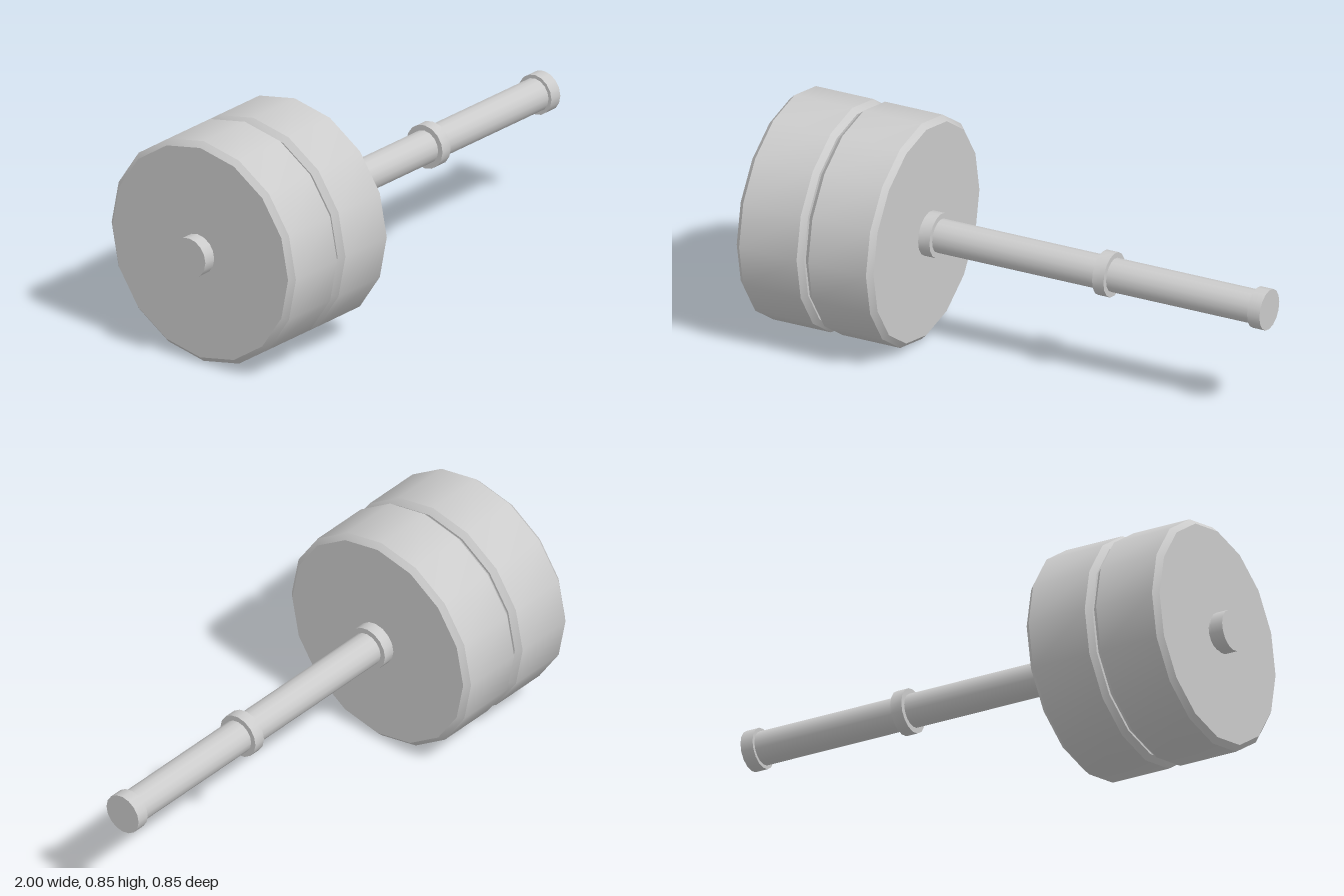
import * as THREE from 'three';
import { toCreasedNormals } from 'three/addons/utils/BufferGeometryUtils.js';

const SIDES = 16;
const AXIS_Y = 0.425;
const ROD_RADIUS = 0.0625;

export function createModel() {
  const model = new THREE.Group();
  model.name = 'dumbbell';
  const material = new THREE.MeshStandardMaterial({ color: 0xcccccc });

  // Places a part, built along y, on the horizontal axis of the bar
  function add(name, geometry, x) {
    geometry.rotateZ(-Math.PI / 2);
    const mesh = new THREE.Mesh(geometry, material);
    mesh.name = name;
    mesh.position.set(x, AXIS_Y, 0);
    model.add(mesh);
  }

  // Solid round bar between two x positions
  function addBar(name, radius, x0, x1) {
    add(name, new THREE.CylinderGeometry(radius, radius, x1 - x0, SIDES), (x0 + x1) / 2);
  }

  // Ring with chamfered outer edges and a bore, between two x positions
  function addRing(name, bore, radius, bevel, x0, x1) {
    const h = (x1 - x0) / 2;
    const profile = [[bore, -h], [radius - bevel, -h]];
    if (bevel > 0) profile.push([radius, -h + bevel], [radius, h - bevel]);
    profile.push([radius - bevel, h], [bore, h], [bore, -h]);
    const points = profile.map(([r, y]) => new THREE.Vector2(r, y));
    add(name, toCreasedNormals(new THREE.LatheGeometry(points, SIDES), 0.55), (x0 + x1) / 2);
  }

  // Bar with an end cap on each side
  addBar('bar', ROD_RADIUS, -0.98, 0.98);
  addBar('rightEndCap', 0.076, -1, -0.95);
  addBar('leftEndCap', 0.076, 0.95, 1);

  // Collars either side of the grip
  addRing('rightCollar', ROD_RADIUS, 0.083, 0, -0.374, -0.328);
  addRing('leftCollar', ROD_RADIUS, 0.083, 0, 0.328, 0.374);

  // Two weight plates, both on the model's right
  addRing('outerPlate', ROD_RADIUS - 0.005, 0.425, 0.02, -0.936, -0.664);
  addRing('innerPlate', ROD_RADIUS - 0.005, 0.425, 0.02, -0.657, -0.384);

  return model;
}
